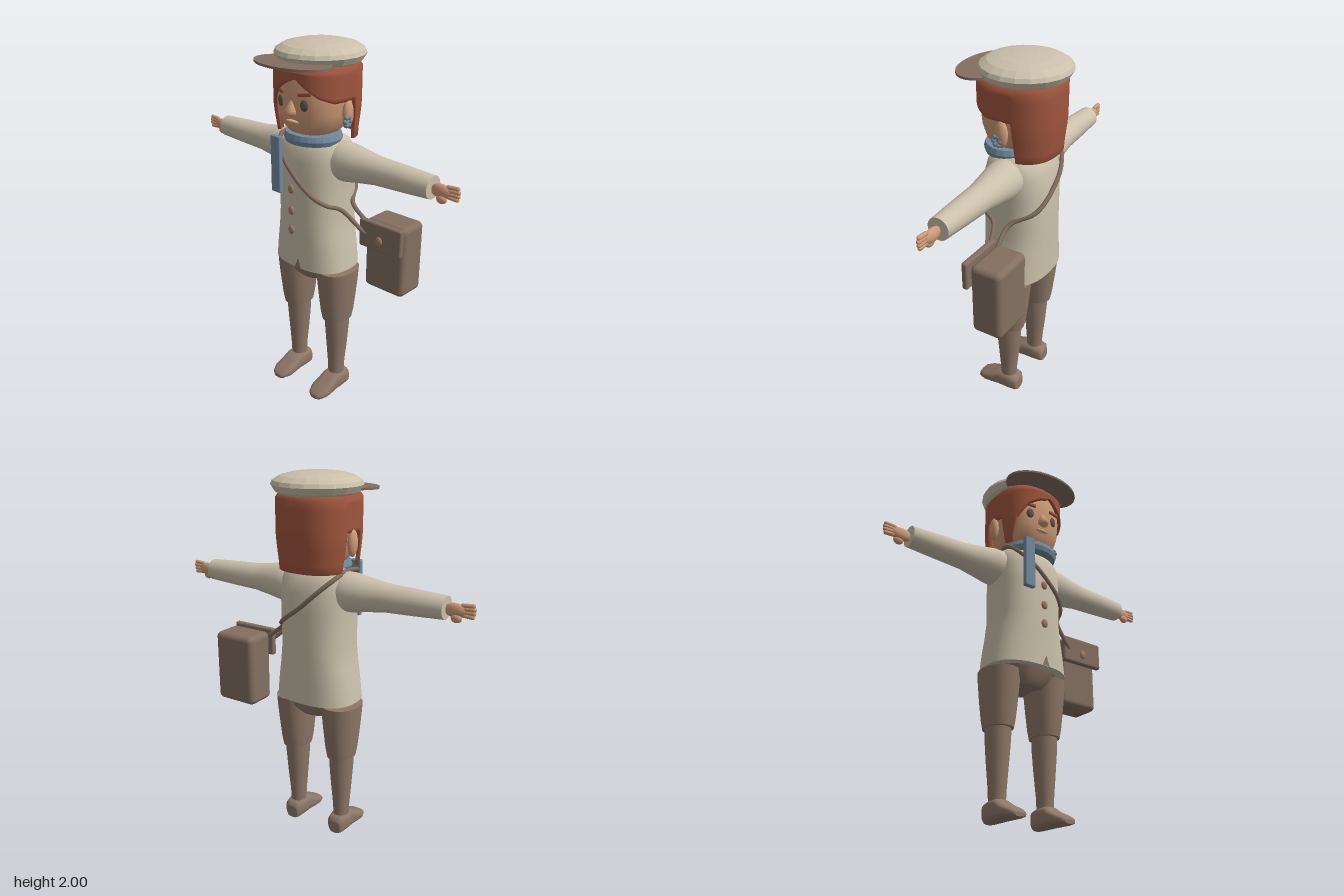
import * as THREE from 'three';
import { RoundedBoxGeometry } from 'three/addons/geometries/RoundedBoxGeometry.js';

const mat = (name, color, side = THREE.FrontSide) => {
  const m = new THREE.MeshStandardMaterial({ color, side });
  m.name = name;
  return m;
};

// Superellipse direction: angle 0 faces +z, 90 degrees faces +x
const sup = (a, n) => {
  const f = (v) => Math.sign(v) * Math.pow(Math.abs(v), 2 / n);
  return [f(Math.sin(a)), f(Math.cos(a))];
};

function build(pos, idx) {
  const g = new THREE.BufferGeometry();
  g.setAttribute('position', new THREE.Float32BufferAttribute(pos, 3));
  g.setIndex(idx);
  g.computeVertexNormals();
  return g;
}

// Capped skin over rings [y, centreX, centreZ, radiusX, radiusZ], listed upwards
function loft(rings, n = 2, seg = 28) {
  const pos = [], idx = [];
  const addRing = ([y, cx, cz, rx, rz]) => {
    for (let i = 0; i < seg; i++) {
      const [sx, sz] = sup((i / seg) * Math.PI * 2, n);
      pos.push(cx + rx * sx, y, cz + rz * sz);
    }
  };
  rings.forEach(addRing);
  for (let r = 0; r < rings.length - 1; r++) {
    for (let i = 0; i < seg; i++) {
      const a = r * seg + i, b = r * seg + ((i + 1) % seg);
      idx.push(a, b, b + seg, a, b + seg, a + seg);
    }
  }
  [rings[0], rings[rings.length - 1]].forEach((ring, top) => {
    const s = pos.length / 3;
    addRing(ring);
    pos.push(ring[1], ring[0], ring[2]);
    for (let i = 0; i < seg; i++) {
      const j = (i + 1) % seg;
      idx.push(s + seg, s + (top ? i : j), s + (top ? j : i));
    }
  });
  return build(pos, idx);
}

function flatLathe(points, seg) {
  const g = new THREE.LatheGeometry(points.map((p) => new THREE.Vector2(...p)), seg).toNonIndexed();
  g.computeVertexNormals();
  return g;
}

// Hair shell whose lower edge follows [angle, height] pairs
function hairGeometry() {
  const edge = [[-180, 1.51], [-106, 1.51], [-100, 1.71], [-76, 1.7], [-70, 1.53], [-55, 1.53], [-46, 1.67],
    [-25, 1.76], [8, 1.84], [22, 1.8], [45, 1.75], [70, 1.72], [100, 1.72], [106, 1.51], [180, 1.51]];
  const low = (d) => {
    const k = Math.max(1, edge.findIndex((e) => e[0] >= d));
    const [a, ya] = edge[k - 1], [b, yb] = edge[k];
    return ya + ((yb - ya) * (d - a)) / (b - a);
  };
  const seg = 180, rows = 8, pos = [], idx = [];
  const width = (y) => 0.93 + 0.07 * THREE.MathUtils.smoothstep(y, 1.5, 1.7);
  for (let r = 0; r <= rows + 3; r++) {
    for (let i = 0; i <= seg; i++) {
      const d = -180 + (i / seg) * 360, y0 = low(d);
      let y = y0 + (1.87 - y0) * Math.min(1, Math.max(0, (r - 1) / rows));
      let s = width(y);
      if (r === 0) s *= 0.92;
      if (r === rows + 2) { y = 1.9; s = 0.9; }
      if (r === rows + 3) { y = 1.91; s = 0; }
      const [sx, sz] = sup(THREE.MathUtils.degToRad(d), 2.5);
      pos.push(0.205 * s * sx, y, -0.037 + 0.215 * s * sz);
    }
  }
  const w = seg + 1;
  for (let r = 0; r < rows + 3; r++) {
    for (let i = 0; i < seg; i++) {
      const a = r * w + i;
      idx.push(a, a + 1, a + 1 + w, a, a + 1 + w, a + w);
    }
  }
  return build(pos, idx);
}

export function createModel() {
  const root = new THREE.Group();
  root.name = 'traveller';
  const skin = mat('skin', 0xcf9b79), hair = mat('auburn hair', 0x9f553d, THREE.DoubleSide);
  const cloth = mat('tan cloth', 0xcbc0ab), brown = mat('brown cloth', 0x8d7767);
  const leather = mat('bag leather', 0x836f61), blue = mat('blue scarf', 0x718b9d);
  const eye = mat('eye', 0x62564e), copper = mat('copper button', 0xa17c63), lip = mat('lips', 0xdfae90);
  const add = (name, geo, material, p = [0, 0, 0], parent = root) => {
    const m = new THREE.Mesh(geo, material);
    m.name = name;
    m.position.set(...p);
    parent.add(m);
    return m;
  };
  const ball = (name, material, p, s, parent) => {
    const m = add(name, new THREE.SphereGeometry(1, 18, 12), material, p, parent);
    m.scale.set(...s);
    return m;
  };

  // Coat, with a small slit at the hem
  add('coat', loft([[0.8, 0, -0.037, 0.233, 0.178], [0.9, 0, -0.037, 0.221, 0.178], [1.0, 0, -0.037, 0.203, 0.18],
    [1.1, 0, -0.037, 0.19, 0.182], [1.3, 0, -0.037, 0.195, 0.18], [1.4, 0, -0.037, 0.2, 0.17],
    [1.46, 0, -0.037, 0.195, 0.152], [1.5, 0, -0.037, 0.175, 0.125], [1.52, 0, -0.037, 0.13, 0.1]], 2.5, 40), cloth);
  const slit = new THREE.Shape([[0, 0.8], [0.045, 0.8], [0.025, 0.86]].map((p) => new THREE.Vector2(...p)));
  add('coatSlit', new THREE.ShapeGeometry(slit), brown, [0, 0, 0.144]);
  for (const y of [1.26, 1.14, 1.03]) ball('coatButton', copper, [0, y, 0.165], [0.019, 0.025, 0.011]);

  // Sleeves and hands, the second arm turned half round
  for (const side of [1, -1]) {
    const arm = new THREE.Group();
    arm.name = side > 0 ? 'leftArm' : 'rightArm';
    arm.position.set(0, 1.405, -0.042);
    arm.rotation.y = side > 0 ? 0 : Math.PI;
    root.add(arm);
    const sleeve = loft([[0.1, 0.09], [0.16, 0.103], [0.22, 0.102], [0.3, 0.088], [0.4, 0.073], [0.55, 0.067],
      [0.725, 0.058]].map(([x, r]) => [x, 0, 0, r, r]), 2, 24);
    add('sleeve', sleeve.rotateZ(-Math.PI / 2), cloth, [0, 0, 0], arm);
    ball('palm', skin, [0.77, -0.005, 0], [0.058, 0.036, 0.022], arm);
    ball('thumb', skin, [0.78, -0.04, 0.008], [0.028, 0.023, 0.018], arm);
    for (let i = 0; i < 4; i++) {
      const finger = add('finger', new THREE.CapsuleGeometry(0.011, 0.05, 4, 8), skin, [0.84 - Math.abs(i - 1.6) * 0.005, -0.025 + i * 0.017, 0], arm);
      finger.rotation.z = -Math.PI / 2 + (i - 1.5) * 0.04;
    }
  }

  // Hips, breeches, stockings and shoes
  add('hips', loft([[0.71, 0, -0.04, 0.09, 0.1], [0.74, 0, -0.04, 0.13, 0.13], [0.81, 0, -0.04, 0.19, 0.15]], 2.4), brown);
  for (const s of [1, -1]) {
    const x = s * 0.148;
    add('breechesLeg', loft([[0.47, x, -0.042, 0.072, 0.09], [0.52, x, -0.042, 0.08, 0.1], [0.62, x, -0.042, 0.09, 0.112],
      [0.72, x, -0.042, 0.098, 0.123], [0.78, x, -0.042, 0.102, 0.127]], 2.2), brown);
    add('stocking', loft([[0.08, x, -0.04, 0.042, 0.047], [0.16, x, -0.04, 0.045, 0.05], [0.3, x, -0.042, 0.057, 0.062],
      [0.42, x, -0.042, 0.066, 0.071], [0.5, x, -0.042, 0.066, 0.073]]), brown);
    const shoe = [[-0.112, 0.07, 0.035], [-0.1, 0.1, 0.05], [-0.05, 0.11, 0.057], [0.008, 0.106, 0.057], [0.05, 0.078, 0.061],
      [0.1, 0.056, 0.062], [0.14, 0.036, 0.045], [0.152, 0.022, 0.025]].map(([z, h, w]) => [z, 0, -h / 2, w, h / 2]);
    add('shoe', loft(shoe, 3).rotateX(Math.PI / 2), brown, [x, 0, 0]);
  }

  // Head and face
  add('neck', new THREE.CylinderGeometry(0.09, 0.1, 0.12, 20), skin, [0, 1.51, -0.03]);
  add('head', loft([[1.525, 0, -0.015, 0.07, 0.08], [1.54, 0, -0.015, 0.115, 0.12], [1.58, 0, -0.018, 0.155, 0.155],
    [1.65, 0, -0.02, 0.18, 0.174], [1.74, 0, -0.02, 0.188, 0.18], [1.84, 0, -0.02, 0.183, 0.175], [1.89, 0, -0.02, 0.15, 0.14]], 2.4, 36), skin);
  const nose = add('nose', loft([[1.645, 0, 0.155, 0.012, 0.01], [1.655, 0, 0.16, 0.03, 0.027], [1.675, 0, 0.162, 0.032, 0.03],
    [1.7, 0, 0.158, 0.02, 0.018], [1.725, 0, 0.15, 0.01, 0.012]], 2, 16), skin);
  nose.name = 'nose';
  ball('mouth', lip, [0, 1.617, 0.15], [0.042, 0.009, 0.012]);
  for (const s of [1, -1]) {
    ball('eye', eye, [s * 0.08, 1.71, 0.147], [0.022, 0.03, 0.01]).rotation.y = s * 0.25;
    const brow = add('eyebrow', new RoundedBoxGeometry(0.075, 0.02, 0.014, 2, 0.006), hair, [s * 0.085, 1.765, 0.15]);
    brow.rotation.set(0, s * 0.25, s * 0.12);
    ball('ear', skin, [s * 0.2, 1.655, -0.04], [0.024, 0.07, 0.034]);
  }
  add('hair', hairGeometry(), hair);

  // Clustered earring on the left ear only
  for (let i = 0; i < 6; i++) {
    const a = (i / 6) * Math.PI * 2;
    ball('earringBead', blue, [0.214, 1.622 + Math.sin(a) * 0.022, -0.022 + Math.cos(a) * 0.018], [0.013, 0.013, 0.013]);
  }

  // Cap: faceted crown and thin brim
  add('capCrown', flatLathe([[0, 1.885], [0.19, 1.887], [0.215, 1.9], [0.235, 1.933], [0.226, 1.953],
    [0.19, 1.975], [0.13, 1.99], [0.06, 1.998], [0, 2]], 20), cloth, [0, 0, -0.055]);
  const brim = add('capBrim', new THREE.CylinderGeometry(1, 1, 0.012, 28), leather, [0, 1.906, 0.145]);
  brim.scale.set(0.228, 1, 0.14);

  // Scarf band and hanging end
  const band = add('scarfBand', flatLathe([[0.09, 1.495], [0.148, 1.495], [0.157, 1.52], [0.148, 1.547], [0.09, 1.547]], 24), blue, [0.012, 0, 0.01]);
  band.scale.set(1.02, 1, 0.92);
  add('scarfEnd', new RoundedBoxGeometry(0.064, 0.306, 0.028, 2, 0.006), blue, [-0.1, 1.373, 0.165]);

  // Satchel with flap, clasp and shoulder strap
  add('satchelBody', new RoundedBoxGeometry(0.25, 0.395, 0.175, 4, 0.03), leather, [0.43, 0.917, -0.163]);
  add('satchelFlap', new RoundedBoxGeometry(0.268, 0.155, 0.034, 3, 0.012), leather, [0.43, 1.047, -0.05]);
  ball('satchelClasp', copper, [0.43, 1.03, -0.032], [0.021, 0.026, 0.011]);
  const path = [[-0.17, 1.5, 0.06], [-0.08, 1.41, 0.137], [0.02, 1.32, 0.152], [0.12, 1.235, 0.132], [0.175, 1.19, 0.085],
    [0.21, 1.155, 0.01], [0.34, 1.045, -0.045], [0.33, 1.07, -0.075], [0.21, 1.165, -0.085], [0.13, 1.235, -0.198],
    [0, 1.33, -0.224], [-0.1, 1.42, -0.21], [-0.17, 1.49, -0.15], [-0.16, 1.505, -0.04]].map((p) => new THREE.Vector3(...p));
  add('satchelStrap', new THREE.TubeGeometry(new THREE.CatmullRomCurve3(path, true), 110, 0.012, 6, true), leather);

  return root;
}
